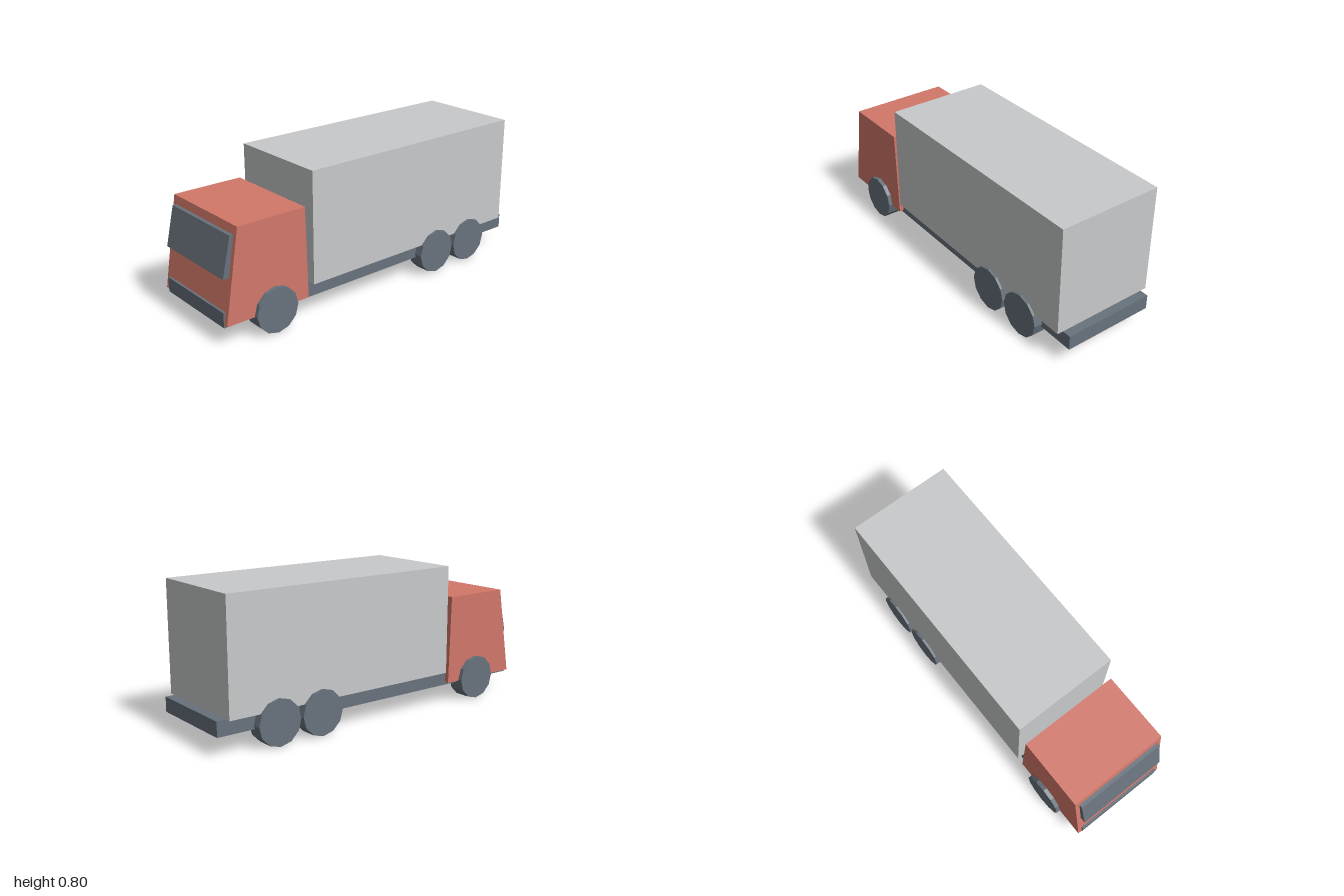
import * as THREE from 'three';

export function createModel() {
  const truck = new THREE.Group();
  truck.name = 'truck';

  const paint = (name, color) => {
    const m = new THREE.MeshStandardMaterial({ color, flatShading: true });
    m.name = name;
    return m;
  };
  const red = paint('cabRed', 0xd2786a);
  const grey = paint('cargoGrey', 0xc8c9ca);
  const slate = paint('slate', 0x68727c);

  const add = (name, geometry, material) => {
    const mesh = new THREE.Mesh(geometry, material);
    mesh.name = name;
    truck.add(mesh);
    return mesh;
  };

  // Box given by half width and its y and z ranges
  const block = (halfWidth, y0, y1, z0, z1) =>
    new THREE.BoxGeometry(2 * halfWidth, y1 - y0, z1 - z0)
      .translate(0, (y0 + y1) / 2, (z0 + z1) / 2);

  // Side profile of [z, y] points extruded across the width
  const profile = (points, halfWidth) => {
    const shape = new THREE.Shape(points.map(([z, y]) => new THREE.Vector2(z, y)));
    return new THREE.ExtrudeGeometry(shape, { depth: 2 * halfWidth, bevelEnabled: false })
      .translate(0, 0, -halfWidth)
      .rotateY(-Math.PI / 2);
  };

  // Frame and cargo box
  add('chassis', block(0.262, 0.105, 0.187, -1, 1), slate);
  add('cargoBox', block(0.297, 0.187, 0.8, -0.95, 0.475), grey);

  // Cab with sloping front, and its raised windscreen
  add('cab', profile([[0.503, 0.12], [0.998, 0.12], [0.915, 0.62], [0.517, 0.62]], 0.287), red);
  add('windscreen', profile([[0.95, 0.36], [0.992, 0.36], [0.943, 0.574], [0.915, 0.574]], 0.262), slate);

  // One front axle and two rear axles
  const wheel = new THREE.CylinderGeometry(0.125, 0.125, 0.095, 12).rotateZ(Math.PI / 2);
  const axles = { frontWheel: 0.712, middleWheel: -0.405, rearWheel: -0.668 };
  for (const [name, z] of Object.entries(axles)) {
    for (const side of [-1, 1]) {
      add(name + (side > 0 ? 'Left' : 'Right'), wheel, slate)
        .position.set(side * 0.2625, 0.125, z);
    }
  }

  return truck;
}
